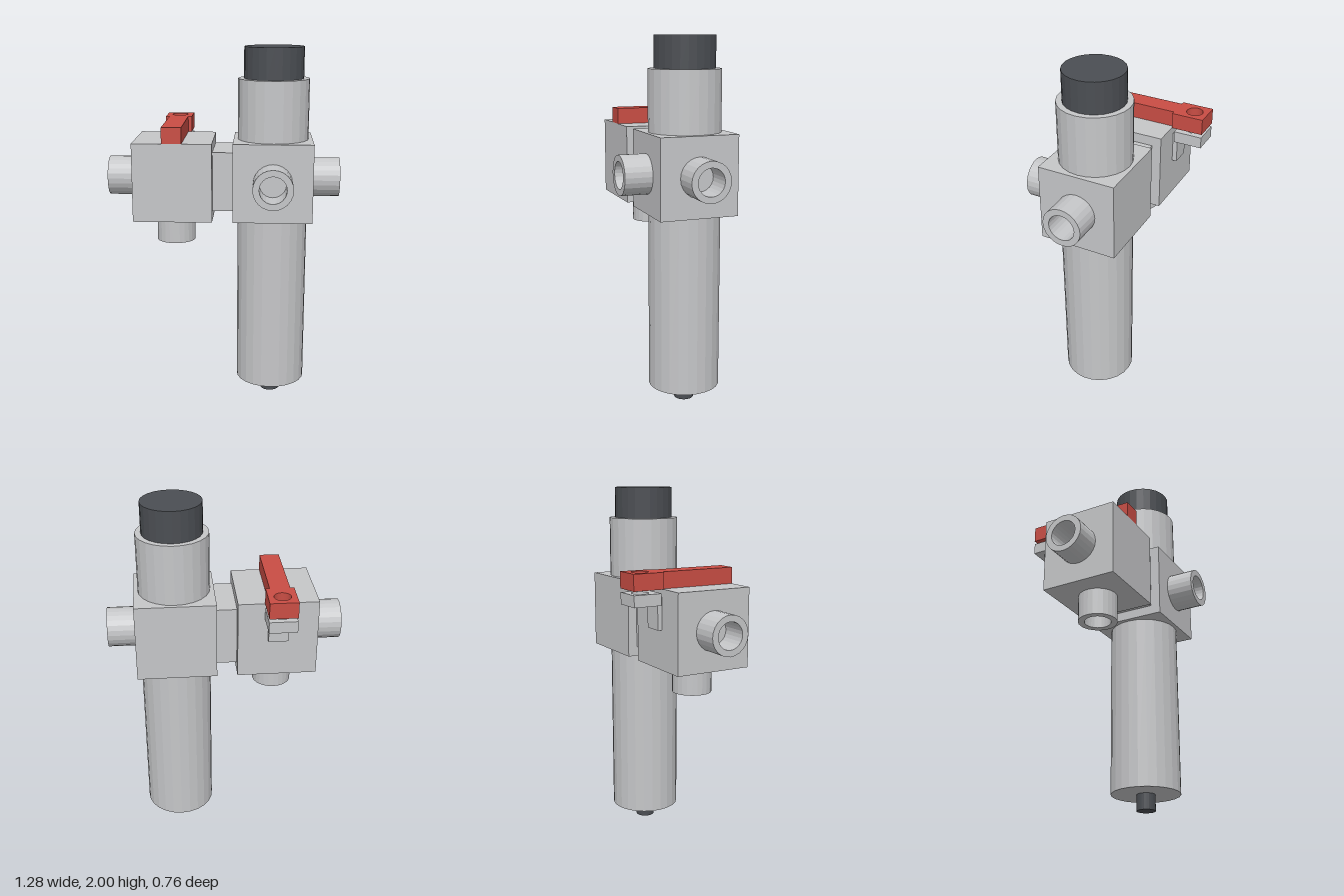
import * as THREE from 'three';

const CZ = 0.009;        // common centre plane of both blocks
const BODY_X = 0.27;     // regulator axis
const VALVE_X = -0.274;  // shut-off valve axis
const PORT_Y = 1.286;

export function createModel() {
  const material = (name, hex) => {
    const m = new THREE.MeshStandardMaterial({ color: hex });
    m.name = name;
    return m;
  };
  const grey = material('light grey metal', 0xc5c6c8);
  const dark = material('dark plastic', 0x4b4e53);
  const red = material('red handle', 0xc94d44);

  const model = new THREE.Group();
  model.name = 'filterRegulator';

  const add = (name, geometry, mat, x = 0, y = 0, z = 0) => {
    const mesh = new THREE.Mesh(geometry, mat);
    mesh.name = name;
    mesh.position.set(x, y, z);
    model.add(mesh);
    return mesh;
  };

  // Faceted normals for low-poly round parts
  const faceted = (geometry) => {
    const g = geometry.toNonIndexed();
    g.computeVertexNormals();
    return g;
  };

  // Box given by its limits on each axis
  const block = (name, mat, [x0, x1], [y0, y1], [z0, z1]) =>
    add(name, new THREE.BoxGeometry(x1 - x0, y1 - y0, z1 - z0), mat,
      (x0 + x1) / 2, (y0 + y1) / 2, (z0 + z1) / 2);

  const column = (name, mat, r, y0, y1) =>
    add(name, faceted(new THREE.CylinderGeometry(r, r, y1 - y0, 24)), mat,
      BODY_X, (y0 + y1) / 2, CZ);

  // Hollow pipe stub pointing along a direction from its base
  const port = (name, x, y, z, dir) => {
    const ro = 0.108, ri = 0.073, h = 0.151;
    const profile = [[ri, 0], [ro, 0], [ro, h], [ri, h], [ri, 0]]
      .map(([r, t]) => new THREE.Vector2(r, t));
    const mesh = add(name, faceted(new THREE.LatheGeometry(profile, 24)), grey, x, y, z);
    mesh.quaternion.setFromUnitVectors(new THREE.Vector3(0, 1, 0), new THREE.Vector3(...dir));
  };

  // Horizontal plate with a round padlock hole
  const holedPlate = (name, mat, y0, y1, z0, z1) => {
    const w = 0.075;
    const shape = new THREE.Shape();
    shape.moveTo(-w, -z1);
    shape.lineTo(w, -z1);
    shape.lineTo(w, -z0);
    shape.lineTo(-w, -z0);
    shape.closePath();
    const hole = new THREE.Path();
    hole.absarc(0, 0.307, 0.045, 0, Math.PI * 2, true);
    shape.holes.push(hole);
    const g = new THREE.ExtrudeGeometry(shape, { depth: y1 - y0, bevelEnabled: false, curveSegments: 24 });
    g.rotateX(-Math.PI / 2);
    add(name, g, mat, VALVE_X, y0, 0);
  };

  // Regulator column
  column('drain', dark, 0.053, 0, 0.09);
  column('bowl', grey, 0.195, 0.09, 1.07);
  column('bonnet', grey, 0.195, 1.5, 1.83);
  column('adjustingKnob', dark, 0.163, 1.83, 2);

  // Blocks and the link between them
  const blockY = [1.07, 1.5], blockZ = [-0.207, 0.225];
  block('regulatorBlock', grey, [0.053, 0.487], blockY, blockZ);
  block('valveBlock', grey, [-0.49, -0.058], blockY, blockZ);
  block('connector', grey, [-0.058, 0.053], [1.123, 1.446], [-0.155, 0.17]);

  // Pipe ports
  port('outletPort', 0.487, PORT_Y, CZ, [1, 0, 0]);
  port('frontPort', BODY_X, PORT_Y, 0.225, [0, 0, 1]);
  port('inletPort', -0.49, PORT_Y, CZ, [-1, 0, 0]);
  port('ventPort', VALVE_X, 1.07, CZ, [0, -1, 0]);

  // Valve handle with its locking tab
  block('handleBar', red, [VALVE_X - 0.054, VALVE_X + 0.054], [1.5, 1.588], blockZ);
  holedPlate('handleTab', red, 1.5, 1.588, -0.382, -0.207);

  // Lock bracket behind the valve
  block('bracketPlate', grey, [VALVE_X - 0.054, VALVE_X + 0.054], [1.285, 1.457], [-0.233, -0.207]);
  holedPlate('bracketTab', grey, 1.417, 1.48, -0.38, -0.222);

  return model;
}
